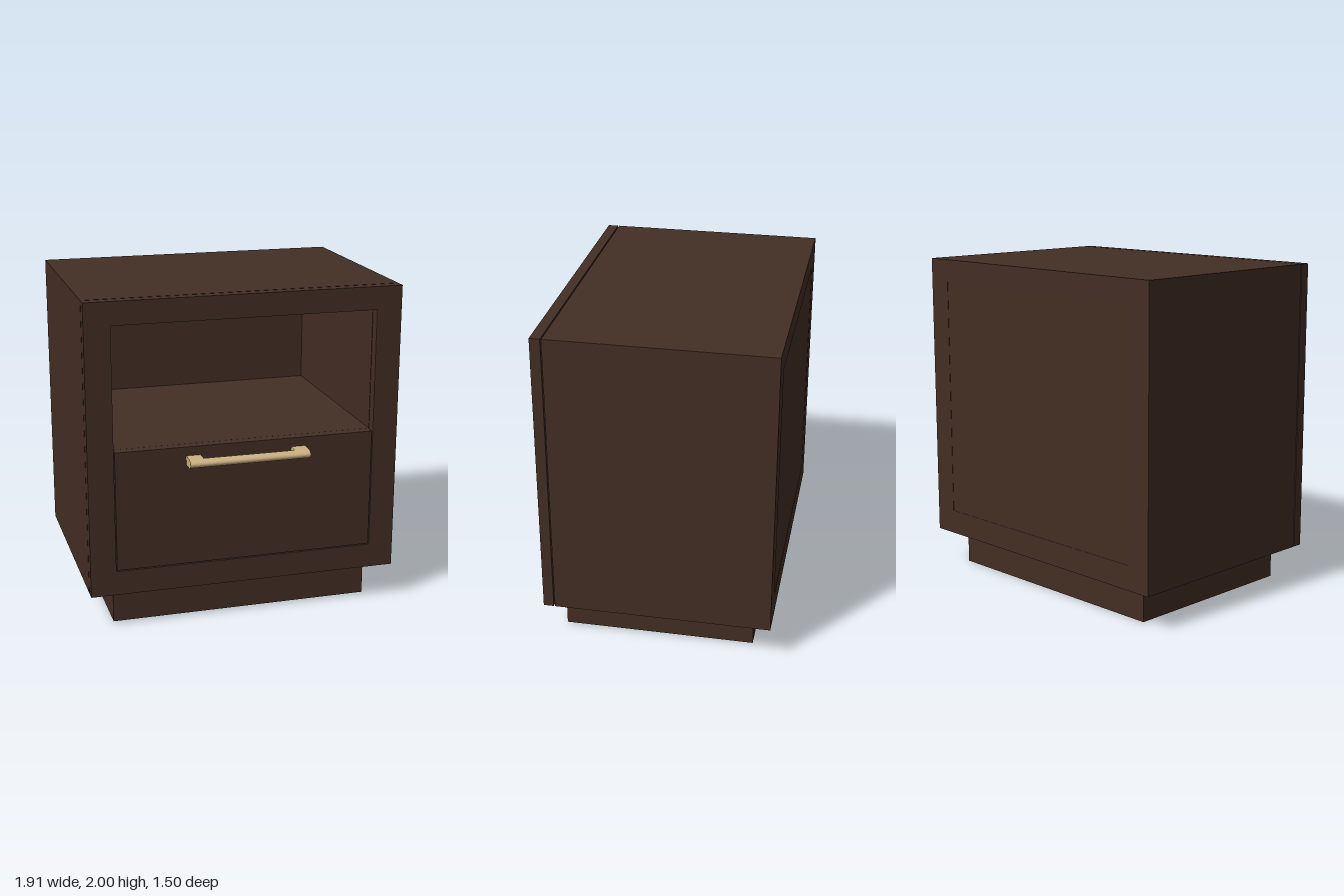
import * as THREE from 'three';

export function createModel() {
  const model = new THREE.Group();
  model.name = 'nightstand';

  const wood = new THREE.MeshStandardMaterial({ color: 0x432e24 });
  wood.name = 'dark brown wood';
  const brass = new THREE.MeshStandardMaterial({ color: 0xcdb283 });
  brass.name = 'pale brass';

  // Box given by its limits on each axis
  function panel(name, [x0, x1], [y0, y1], [z0, z1]) {
    const mesh = new THREE.Mesh(new THREE.BoxGeometry(x1 - x0, y1 - y0, z1 - z0), wood);
    mesh.position.set((x0 + x1) / 2, (y0 + y1) / 2, (z0 + z1) / 2);
    mesh.name = name;
    model.add(mesh);
  }

  const W = 0.955, INNER = 0.8, BOTTOM = 0.22, TOP = 2;
  const BACK = -0.75, CARCASS = 0.573, FRAME = 0.58, FRONT = 0.643;

  // Recessed plinth
  panel('plinth', [-0.805, 0.805], [0, BOTTOM], [-0.63, 0.54]);

  // Carcass panels
  panel('leftSide', [INNER, W], [BOTTOM, TOP], [BACK, CARCASS]);
  panel('rightSide', [-W, -INNER], [BOTTOM, TOP], [BACK, CARCASS]);
  panel('topPanel', [-INNER, INNER], [1.86, TOP], [BACK, CARCASS]);
  panel('bottomPanel', [-INNER, INNER], [BOTTOM, 0.37], [BACK, CARCASS]);
  panel('backPanel', [-INNER, INNER], [0.37, 1.86], [BACK + 0.002, -0.7]);
  panel('shelf', [-INNER, INNER], [1.05, 1.108], [-0.7, CARCASS]);
  // Recessed strip closing the joint between carcass and frame
  for (const s of [-1, 1]) {
    const xs = [s * 0.81, s * 0.945].sort((a, b) => a - b);
    panel('sideJoint', xs, [0.23, 1.99], [CARCASS, FRAME]);
  }
  panel('topJoint', [-0.81, 0.81], [1.87, 1.99], [CARCASS, FRAME]);
  panel('bottomJoint', [-0.81, 0.81], [0.23, 0.36], [CARCASS, FRAME]);

  // Face frame with one rectangular opening
  const rect = (T, x, y0, y1) => new T([
    new THREE.Vector2(-x, y0), new THREE.Vector2(x, y0),
    new THREE.Vector2(x, y1), new THREE.Vector2(-x, y1),
  ]);
  const frameShape = rect(THREE.Shape, W, BOTTOM, TOP);
  frameShape.holes.push(rect(THREE.Path, INNER, 0.37, 1.86));
  const frame = new THREE.Mesh(
    new THREE.ExtrudeGeometry(frameShape, { depth: FRONT - FRAME, bevelEnabled: false }), wood);
  frame.position.z = FRAME;
  frame.name = 'faceFrame';
  model.add(frame);

  // Drawer front, flush with the frame
  panel('drawerFront', [-0.794, 0.794], [0.376, 1.11], [FRAME, FRONT - 0.002]);

  // Handle: bullet-nosed profile, extruded along x
  const handle = new THREE.Group();
  handle.name = 'handle';
  function bullet(name, x0, x1, zBack) {
    const shape = new THREE.Shape();
    const half = 0.027, nose = 0.7, len = 0.048;
    const start = Math.max(0, Math.asin(Math.max(0, zBack - nose) / len));
    if (zBack < nose) shape.moveTo(zBack, -half);
    for (let i = 0; i <= 16; i++) {
      const a = -Math.PI / 2 + start + (i / 16) * (Math.PI - 2 * start);
      const z = nose + len * Math.cos(a), y = half * Math.sin(a);
      if (i === 0 && zBack >= nose) shape.moveTo(z, y);
      else shape.lineTo(z, y);
    }
    if (zBack < nose) shape.lineTo(zBack, half);
    shape.closePath();
    const geo = new THREE.ExtrudeGeometry(shape, { depth: x1 - x0, bevelEnabled: false });
    geo.rotateY(-Math.PI / 2); // profile x becomes z, extrusion runs to -x
    const mesh = new THREE.Mesh(geo, brass);
    mesh.position.set(x1, 1.028, 0);
    mesh.name = name;
    handle.add(mesh);
  }
  bullet('leftPost', 0.28, 0.368, 0.638);
  bullet('rightPost', -0.368, -0.28, 0.638);
  bullet('handleBar', -0.28, 0.28, 0.708);
  model.add(handle);

  return model;
}
